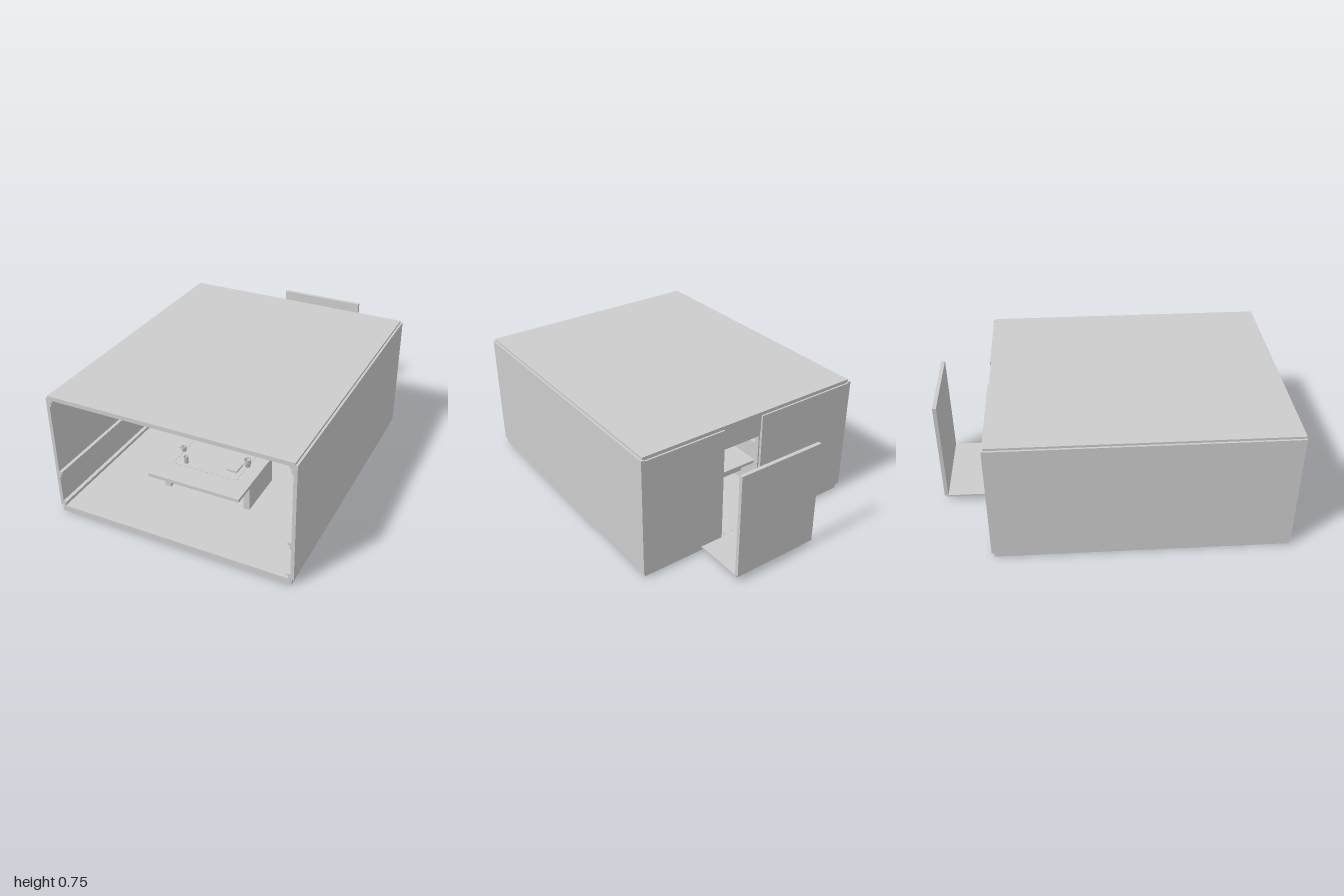
import * as THREE from 'three';

export function createModel() {
  const model = new THREE.Group();
  const grey = new THREE.MeshStandardMaterial({ color: 0xcccccc });
  grey.name = 'plain grey';

  const add = (name, geometry, x = 0, y = 0, z = 0, parent = model) => {
    const mesh = new THREE.Mesh(geometry, grey);
    mesh.name = name;
    mesh.position.set(x, y, z);
    parent.add(mesh);
    return mesh;
  };
  // Box given by its limits on each axis
  const box = (name, x0, x1, y0, y1, z0, z1, parent = model) =>
    add(name, new THREE.BoxGeometry(x1 - x0, y1 - y0, z1 - z0),
      (x0 + x1) / 2, (y0 + y1) / 2, (z0 + z1) / 2, parent);
  const sides = [-1, 1];
  // Box mirrored to both sides of x = 0
  const pair = (name, x0, x1, ...rest) => sides.forEach((s) =>
    box(name, Math.min(s * x0, s * x1), Math.max(s * x0, s * x1), ...rest));

  // Shell
  box('floor', -0.704, 0.704, 0, 0.027, -0.677, 1);
  box('floorBoards', -0.697, 0.697, 0.027, 0.038, -0.677, 1);
  box('roof', -0.704, 0.704, 0.731, 0.755, -0.68, 1);
  pair('sideWall', 0.696, 0.716, 0.037, 0.742, -0.69, 1);
  box('backWallLeft', 0.196, 0.698, 0.037, 0.735, -0.69, -0.67);
  box('backWallRight', -0.698, -0.06, 0.037, 0.735, -0.69, -0.67);
  box('transomPanel', -0.06, 0.196, 0.63, 0.735, -0.678, -0.665);

  // Stepped mouldings run along the side walls and the back wall
  const rails = [['skirting', 0.038, 0.057, 0.012], ['skirtingCap', 0.057, 0.069, 0.022],
    ['dadoRail', 0.235, 0.257, 0.01], ['dadoCap', 0.257, 0.272, 0.02],
    ['cornice', 0.69, 0.716, 0.01], ['corniceCap', 0.716, 0.731, 0.022]];
  for (const [name, y0, y1, d] of rails) {
    pair(name, 0.696 - d, 0.697, y0, y1, -0.67, 1);
    if (y0 > 0.6) box(name, -0.697, 0.697, y0, y1, -0.67, -0.67 + d);
    else {
      box(name, -0.697, -0.08, y0, y1, -0.67, -0.67 + d);
      box(name, 0.215, 0.697, y0, y1, -0.67, -0.67 + d);
    }
  }

  // Doorway, outside step and the free standing panel
  box('doorFrameRight', -0.078, -0.052, 0.038, 0.63, -0.675, -0.645);
  box('doorFrameLeft', 0.19, 0.215, 0.038, 0.63, -0.675, -0.645);
  box('doorFrameTop', -0.052, 0.19, 0.605, 0.63, -0.675, -0.645);
  box('step', -0.195, 0.333, 0.025, 0.037, -0.985, -0.67);
  box('outerPanel', -0.195, 0.333, 0.037, 0.672, -1, -0.978);

  // Front table with panel legs and a dashed mat outline
  box('tableTop', -0.272, 0.29, 0.215, 0.235, 0.16, 0.76);
  pair('tableLeg', 0.235, 0.272, 0.038, 0.215, 0.28, 0.59);
  box('tableApron', -0.235, 0.235, 0.095, 0.185, 0.38, 0.4);
  for (let i = 0; i < 12; i++) {
    const t = (i + 0.25) / 12;
    for (const z of [0.31, 0.61]) box('matDash', -0.2 + t * 0.4, -0.182 + t * 0.4, 0.235, 0.238, z, z + 0.005);
    for (const x of [-0.2, 0.2]) box('matDash', x, x + 0.005, 0.235, 0.238, 0.31 + t * 0.3, 0.323 + t * 0.3);
  }

  // Things on the table
  const cup = (name, x, z, r, h) => {
    const profile = [[0, 0], [r * 0.8, 0], [r, h], [r * 0.85, h], [r * 0.68, h * 0.15], [0, h * 0.15]];
    return add(name, new THREE.LatheGeometry(profile.map((p) => new THREE.Vector2(...p)), 16), x, 0.235, z);
  };
  cup('mug', -0.2, 0.48, 0.015, 0.03);
  add('mugHandle', new THREE.TorusGeometry(0.009, 0.003, 6, 12), -0.218, 0.25, 0.48);
  cup('goblet', -0.13, 0.58, 0.014, 0.043);
  cup('pot', 0.2, 0.46, 0.02, 0.045);
  box('book', 0.11, 0.175, 0.235, 0.247, 0.47, 0.55);
  cup('vase', 0.035, 0.29, 0.012, 0.035);
  for (let i = 0; i < 4; i++) {
    const twig = add('twig', new THREE.CylinderGeometry(0.002, 0.002, 0.075, 5), 0.035, 0.293, 0.29);
    twig.rotation.set(0.15 * Math.cos(i * 1.6), 0, 0.15 * Math.sin(i * 1.6));
  }

  // Wide desk with legs, apron and two dividers
  box('deskTop', -0.59, 0.59, 0.218, 0.236, -0.42, -0.12);
  pair('deskDivider', 0.262, 0.278, 0.038, 0.352, -0.42, -0.12);
  for (const z of [-0.41, -0.16]) {
    pair('deskLeg', 0.545, 0.58, 0.038, 0.218, z, z + 0.03);
    pair('deskInnerLeg', 0.285, 0.31, 0.038, 0.218, z, z + 0.03);
  }
  box('deskApron', -0.545, 0.545, 0.095, 0.19, -0.3, -0.285);

  // Ladder-backed chairs in front of the desk
  for (const s of sides) {
    const chair = new THREE.Group();
    chair.name = 'chair';
    chair.position.set(s * 0.43, 0, -0.1);
    for (const x of [-0.036, 0.024]) {
      box('chairPost', x, x + 0.012, 0.038, 0.25, 0.02, 0.032, chair);
      box('chairBackLeg', x, x + 0.012, 0.038, 0.14, -0.06, -0.048, chair);
    }
    for (const y of [0.06, 0.105, 0.18, 0.225]) box('chairRung', -0.036, 0.036, y, y + 0.014, 0.022, 0.03, chair);
    box('chairSeat', -0.04, 0.04, 0.135, 0.148, -0.065, 0.034, chair);
    box('chairHeadPanel', -0.06, 0.06, 0.25, 0.328, 0.018, 0.032, chair);
    model.add(chair);
  }

  // Pendant lamp
  add('lampCord', new THREE.CylinderGeometry(0.0025, 0.0025, 0.135, 8), 0, 0.665, 0.46);
  const shade = [[0.076, 0], [0.072, 0.01], [0.04, 0.033], [0, 0.036]].map((p) => new THREE.Vector2(...p));
  add('lampShade', new THREE.LatheGeometry(shade, 24), 0, 0.564, 0.46);
  const under = add('lampUnderside', new THREE.CircleGeometry(0.076, 24), 0, 0.564, 0.46);
  under.rotation.x = Math.PI / 2;

  // Notice board and clock on the back wall
  box('noticeBoard', -0.4, -0.155, 0.38, 0.51, -0.67, -0.66);
  box('boardLedge', -0.4, -0.155, 0.38, 0.386, -0.66, -0.65);
  for (const x of [-0.36, -0.255]) box('boardStrip', x, x + 0.055, 0.41, 0.418, -0.66, -0.656);
  for (let i = 0; i < 14; i++) {
    const x = -0.37 + ((i * 5) % 14) * 0.014, y = 0.44 + ((i * 3) % 7) * 0.009;
    box('boardPin', x, x + 0.006, y, y + 0.004, -0.66, -0.656);
  }
  const clock = add('clock', new THREE.CylinderGeometry(0.034, 0.034, 0.012, 32), 0.375, 0.603, -0.664);
  clock.rotation.x = Math.PI / 2;

  // Corner bin with rolled sheets
  add('bin', new THREE.CylinderGeometry(0.022, 0.018, 0.075, 16), 0.592, 0.075, -0.56);
  for (let i = 0; i < 3; i++) {
    const roll = add('roll', new THREE.CylinderGeometry(0.004, 0.004, 0.13, 8), 0.585 + i * 0.007, 0.165, -0.56);
    roll.rotation.z = (i - 1) * -0.18;
  }
  return model;
}
